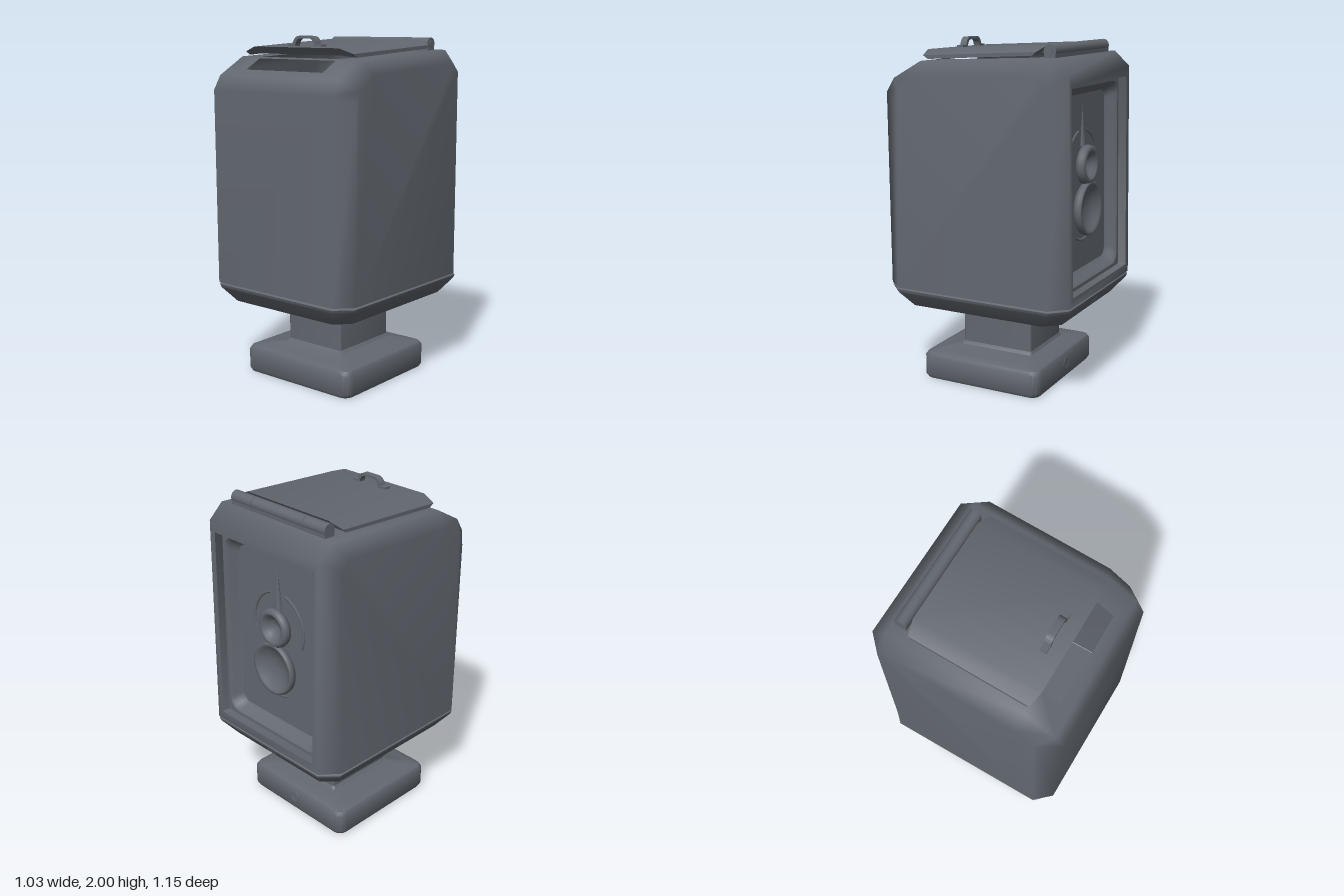
import * as THREE from 'three';
import { toCreasedNormals, mergeGeometries, mergeVertices } from 'three/addons/utils/BufferGeometryUtils.js';

const V = (x, y, z) => new THREE.Vector3(x, y, z);

export function createModel() {
  const model = new THREE.Group();
  const grey = new THREE.MeshStandardMaterial({ color: 0x62676f, side: THREE.DoubleSide });
  grey.name = 'slateGrey';

  function add(name, geometry, parent = model) {
    const mesh = new THREE.Mesh(geometry, grey);
    mesh.name = name;
    parent.add(mesh);
    return mesh;
  }
  function fromTriangles(points) {
    return new THREE.BufferGeometry().setFromPoints(points);
  }
  // Joins matching rings of points; caps close the first and last ring
  function skin(rings, capStart = true, capEnd = true, crease = 0.5) {
    const t = [], n = rings[0].length;
    for (let k = 0; k < rings.length - 1; k++) {
      const a = rings[k], b = rings[k + 1];
      for (let i = 0; i < n; i++) {
        const j = (i + 1) % n;
        t.push(a[i], a[j], b[j], a[i], b[j], b[i]);
      }
    }
    const first = rings[0], last = rings[rings.length - 1];
    for (let i = 1; i < n - 1; i++) {
      if (capStart) t.push(first[0], first[i + 1], first[i]);
      if (capEnd) t.push(last[0], last[i], last[i + 1]);
    }
    const g = fromTriangles(t);
    g.computeVertexNormals();
    return toCreasedNormals(g, crease);
  }
  // Level rectangle with corners rounded (or cut when seg is 1)
  function ring(y, hx, hz, r, seg = 1, zc = 0) {
    const pts = [];
    [[1, 1], [-1, 1], [-1, -1], [1, -1]].forEach(([sx, sz], q) => {
      for (let i = 0; i <= seg; i++) {
        const a = (q + i / seg) * Math.PI / 2;
        pts.push(V(sx * (hx - r) + r * Math.cos(a), y, zc - sz * (hz - r) - r * Math.sin(a)));
      }
    });
    return pts;
  }

  // Body shell: side outline as [z, y] for the middle and for the inset side faces
  const P = [[0.575, 0.58], [0.58, 1.7], [0.53, 1.78], [0.35, 1.88], [-0.46, 1.915], [-0.55, 1.83], [-0.575, 0.58]];
  const Q = [[0.48, 0.58], [0.48, 1.66], [0.45, 1.72], [0.32, 1.8], [-0.42, 1.84], [-0.47, 1.79], [-0.47, 0.58]];
  const W = 0.43, S = 0.515;
  const shell = [];
  // Openings per panel: [half width, start, end] measured along the panel
  const openings = { 2: [0.28, 0.068, 0.19], 3: [0.28, 0.012, 0.65], 5: [0.39, 0.06, 1.2] };
  for (let i = 0; i < P.length - 1; i++) {
    const p = V(0, P[i][1], P[i][0]), q = V(0, P[i + 1][1], P[i + 1][0]);
    const len = p.distanceTo(q), up = q.clone().sub(p).normalize();
    const panel = new THREE.Shape([[-W, 0], [W, 0], [W, len], [-W, len]].map(c => new THREE.Vector2(...c)));
    if (openings[i]) {
      const [w, a, b] = openings[i];
      panel.holes.push(new THREE.Path([[-w, a], [-w, b], [w, b], [w, a]].map(c => new THREE.Vector2(...c))));
    }
    const g = new THREE.ShapeGeometry(panel);
    const m = new THREE.Matrix4().makeBasis(V(1, 0, 0), up, V(1, 0, 0).cross(up)).setPosition(p);
    const flat = g.applyMatrix4(m).toNonIndexed();
    flat.deleteAttribute('uv');
    flat.deleteAttribute('normal');
    shell.push(flat);
  }
  for (const s of [1, -1]) {
    const t = [];
    const tri = (a, b, c) => (s > 0 ? t.push(a, b, c) : t.push(a, c, b));
    const p = P.map(([z, y]) => V(s * W, y, z)), q = Q.map(([z, y]) => V(s * S, y, z));
    for (let i = 0; i < p.length - 1; i++) {
      tri(p[i], q[i], q[i + 1]);
      tri(p[i], q[i + 1], p[i + 1]);
      if (i > 0) tri(q[0], q[i + 1], q[i]);
    }
    shell.push(fromTriangles(t));
  }
  // Shared vertices blend the bevels softly into the large faces
  const body = mergeVertices(mergeGeometries(shell), 1e-3);
  body.computeVertexNormals();
  add('body', body);

  // Bowl-shaped underside, neck and foot
  add('baseTray', skin([
    ring(0.4, 0.2, 0.23, 0.03), ring(0.41, 0.3, 0.35, 0.05), ring(0.46, 0.44, 0.495, 0.08),
    ring(0.55, 0.51, 0.568, 0.09), ring(0.568, 0.515, 0.573, 0.09), ring(0.575, 0.506, 0.564, 0.09),
    ring(0.59, 0.506, 0.564, 0.09),
  ], true, true, 0.6));
  add('neck', skin([ring(0.16, 0.2, 0.225, 0.015, 3), ring(0.41, 0.2, 0.225, 0.015, 3)]));
  add('foot', skin([
    ring(0, 0.38, 0.369, 0.05, 4, 0.02), ring(0.02, 0.392, 0.381, 0.055, 4, 0.02),
    ring(0.135, 0.392, 0.381, 0.055, 4, 0.02), ring(0.155, 0.38, 0.369, 0.05, 4, 0.02),
    ring(0.168, 0.34, 0.33, 0.05, 4, 0.02), ring(0.183, 0.215, 0.24, 0.02, 4, 0.005),
    ring(0.2, 0.2, 0.225, 0.015, 4),
  ], true, true, 0.7));

  // Round cable sockets down the back
  for (const [y, z, ny, nz] of [[0.505, -0.53, -0.63, -0.78], [0.408, -0.325, -1, -0.08], [0.09, -0.36, 0, -1]]) {
    const socket = new THREE.Group();
    socket.name = 'socket';
    add('socketRim', new THREE.TorusGeometry(0.031, 0.004, 8, 24), socket);
    add('socketFace', new THREE.CircleGeometry(0.03, 24).translate(0, 0, 0.002), socket);
    socket.position.set(0, y, z);
    socket.lookAt(0, y + ny, z + nz);
    model.add(socket);
  }

  // Recessed back panel; local +z points out of the back
  const back = new THREE.Group();
  back.name = 'backRecess';
  back.position.set(0, 1.2, -0.5626);
  back.rotation.set(0.02, Math.PI, 0);
  model.add(back);
  const depth = 0.115;
  const recess = skin([
    ring(0, 0.39, 0.57, 0.005, 5), ring(-0.05, 0.39, 0.57, 0.005, 5), ring(-0.05, 0.37, 0.55, 0.07, 5),
    ring(-0.065, 0.355, 0.535, 0.07, 5), ring(-0.095, 0.345, 0.52, 0.065, 5), ring(-depth, 0.325, 0.5, 0.055, 5),
  ], false, true, 0.6);
  add('recessPanel', recess.rotateX(Math.PI / 2), back);

  // Two dished drivers: a wide thin-rimmed one and a small thick-rimmed one
  const wideDish = [[0.8, 0], [0.97, 0.12], [1, 0.26], [0.97, 0.36], [0.9, 0.38], [0.82, 0.32], [0.6, 0.17], [0.3, 0.08], [0, 0.06]];
  const deepDish = [[0.75, 0], [0.95, 0.1], [1, 0.28], [0.95, 0.45], [0.82, 0.54], [0.68, 0.5], [0.52, 0.32], [0.3, 0.12], [0, 0.06]];
  for (const [name, dish, r, y] of [['largeDriver', wideDish, 0.158, -0.15], ['smallDriver', deepDish, 0.115, 0.1]]) {
    const g = new THREE.LatheGeometry(dish.map(([a, h]) => new THREE.Vector2(a * r, h * r)), 40);
    add(name, g.rotateX(Math.PI / 2), back).position.set(0, y, -depth);
  }
  const spike = add('spikeTrim', new THREE.ConeGeometry(0.028, 0.23, 8), back);
  spike.position.set(0, 0.32, -depth + 0.005);
  spike.scale.z = 0.6;
  for (const [r, y, start, sweep] of [[0.2, 0.1, -0.4, 1.7], [0.2, 0.1, 1.85, 1.7], [0.185, -0.15, 4.2, 1.0]]) {
    const arc = add('arcTrim', new THREE.TorusGeometry(r, 0.008, 6, 24, sweep).rotateZ(start), back);
    arc.position.set(0, y, -depth);
  }

  // Lid: flat middle with drooping, narrower wings
  const lidTop = z => 1.957 - 0.05 * z;
  add('lid', skin([[-0.395, 0.03, 0.02], [-0.31, 0, 0], [0.31, 0, 0], [0.395, 0.03, 0.02]].map(([x, drop, cut]) => {
    const z0 = -0.365 + cut, z1 = 0.375 - cut, h = 0.038 - drop * 0.6;
    return [
      V(x, lidTop(z0) - drop - h, z0 + 0.025), V(x, lidTop(z0) - drop, z0),
      V(x, lidTop(z1) - drop, z1), V(x, lidTop(z1) - drop - h, z1 - 0.03),
    ];
  }), true, true, 0.4));

  // Arched handle on the lid
  const handle = new THREE.Shape();
  handle.moveTo(-0.125, 0);
  handle.lineTo(-0.07, 0);
  handle.quadraticCurveTo(-0.065, 0.042, -0.035, 0.044);
  handle.lineTo(0.035, 0.044);
  handle.quadraticCurveTo(0.065, 0.042, 0.07, 0);
  handle.lineTo(0.125, 0);
  handle.lineTo(0.125, 0.014);
  handle.lineTo(0.088, 0.014);
  handle.quadraticCurveTo(0.08, 0.057, 0.04, 0.059);
  handle.lineTo(-0.04, 0.059);
  handle.quadraticCurveTo(-0.08, 0.057, -0.088, 0.014);
  handle.lineTo(-0.125, 0.014);
  const handleBar = new THREE.ExtrudeGeometry(handle, { depth: 0.04, bevelEnabled: false, curveSegments: 8 });
  add('handle', toCreasedNormals(handleBar, 0.6)).position.set(0, 1.941, 0.255);

  // Hinge: three knuckles, leaf and pin
  for (const [x, w] of [[-0.2825, 0.163], [0, 0.397], [0.2825, 0.163]]) {
    add('hingeKnuckle', new THREE.CylinderGeometry(0.036, 0.036, w, 24).rotateZ(Math.PI / 2)).position.set(x, 1.95, -0.41);
    add('hingeLeaf', new THREE.BoxGeometry(w, 0.045, 0.066)).position.set(x, 1.926, -0.41);
  }
  add('hingePin', new THREE.CylinderGeometry(0.018, 0.018, 0.728, 16).rotateZ(Math.PI / 2)).position.set(0.005, 1.95, -0.41);

  return model;
}
